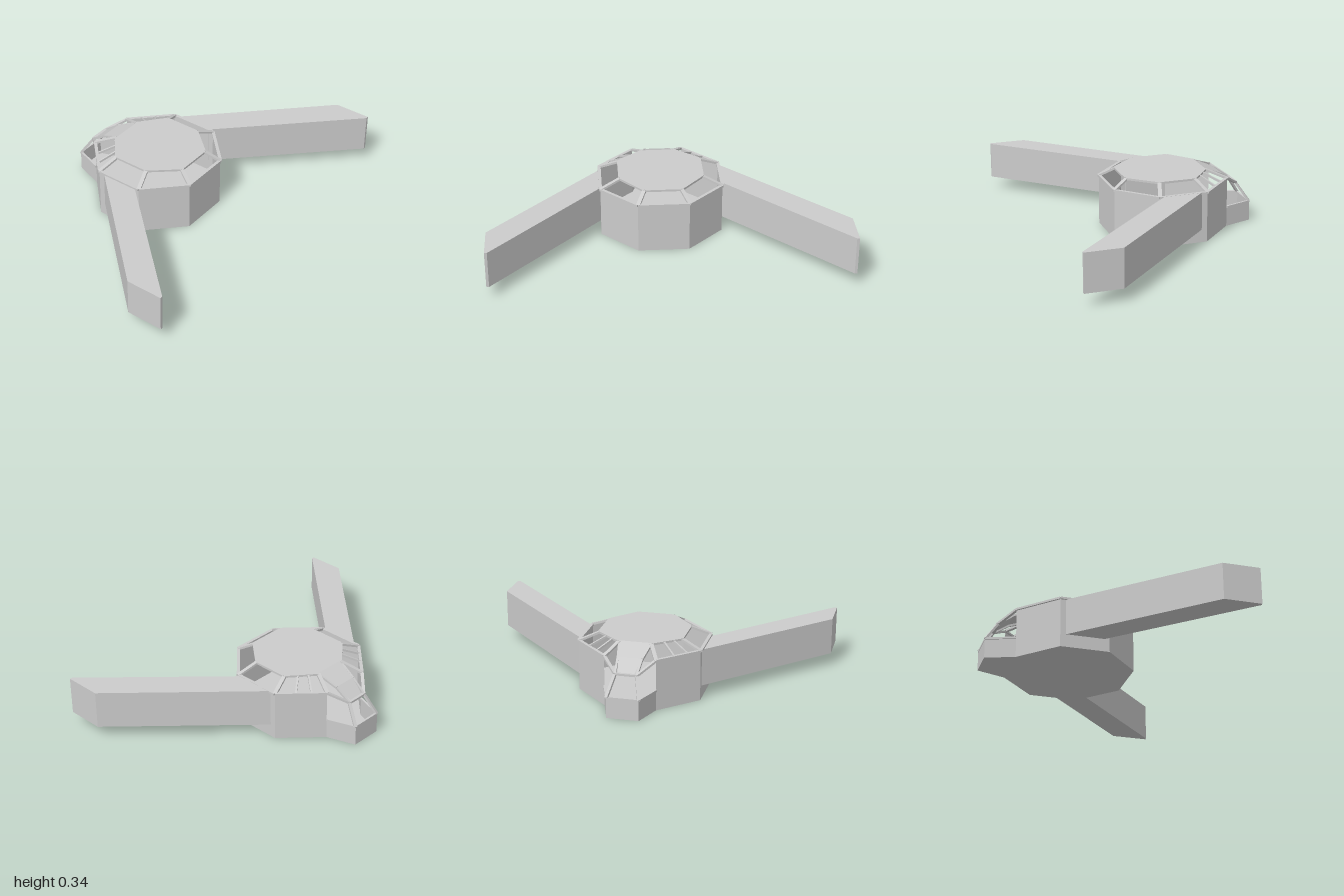
import * as THREE from 'three';

const CX = -0.02; // the hull sits slightly off centre
const mat = new THREE.MeshStandardMaterial({ color: 0xcccccc, flatShading: true, side: THREE.DoubleSide });

const add = (parent, name, geometry) => {
  const mesh = new THREE.Mesh(geometry, mat);
  mesh.name = name;
  parent.add(mesh);
  return mesh;
};

// Upright prism over a plan outline of [x, z] points
function prism(plan, y0, y1) {
  const shape = new THREE.Shape(plan.map(([x, z]) => new THREE.Vector2(x, -z)));
  return new THREE.ExtrudeGeometry(shape, { depth: y1 - y0, bevelEnabled: false })
    .rotateX(-Math.PI / 2).translate(0, y0, 0);
}

// Strip of quads between two matching rows of [x, y, z] points
function strip(a, b) {
  const pos = [];
  for (let i = 0; i < a.length - 1; i++) {
    pos.push(...a[i], ...a[i + 1], ...b[i + 1], ...a[i], ...b[i + 1], ...b[i]);
  }
  const g = new THREE.BufferGeometry();
  g.setAttribute('position', new THREE.Float32BufferAttribute(pos, 3));
  g.computeVertexNormals();
  return g;
}

// Square bar whose top lies on the line between two points
function bar(parent, name, p, q, w = 0.018) {
  const a = new THREE.Vector3(...p), b = new THREE.Vector3(...q);
  const mesh = add(parent, name, new THREE.BoxGeometry(w, 0.012, a.distanceTo(b)));
  mesh.position.lerpVectors(a, b, 0.5);
  mesh.position.y -= 0.006;
  mesh.lookAt(b.clone().setY(b.y - 0.006));
}

// Octagon running from the back right corner round the front to the back left
const ring = (half) => [
  ...half.map(([x, z]) => [CX + x, z]),
  ...half.slice().reverse().map(([x, z]) => [CX - x, z]),
];
const at = (plan, y) => plan.map(([x, z]) => [x, y, z]);
const mix = (p, q, t) => p.map((v, i) => v + (q[i] - v) * t);

export function createModel() {
  const model = new THREE.Group();
  const hull = ring([[0.145, -0.48], [0.348, -0.28], [0.348, 0], [0.145, 0.2]]);
  const roof = ring([[0.09, -0.365], [0.235, -0.245], [0.235, -0.035], [0.105, 0.115]]);
  const tail = [[CX + 0.145, -0.48], [CX + 0.09, -0.645], [CX - 0.09, -0.645], [CX - 0.145, -0.48]];

  // Open-topped hull with the low tail bay
  add(model, 'hullWall', strip(at(hull, 0), at(hull, 0.295)));
  add(model, 'tailWall', strip(at(tail, 0), at(tail, 0.12)));
  add(model, 'floor', prism([...hull, tail[2], tail[1]], 0, 0.006));

  // Raised roof and the panel that folds down behind it
  add(model, 'roof', prism(roof, 0.335, 0.345));
  const fold = [[0.09, 0.345, -0.365], [0.068, 0.295, -0.48], [0.045, 0.232, -0.565]];
  add(model, 'rearRoofPanel', strip(
    fold.map(([x, y, z]) => [CX + x, y, z]),
    fold.map(([x, y, z]) => [CX - x, y, z])));

  // Window frames between hull rim and roof
  const frames = new THREE.Group();
  frames.name = 'windowFrames';
  model.add(frames);
  const low = at(hull, 0.297), high = at(roof, 0.345);
  low.forEach((p, i) => {
    bar(frames, 'cornerBar', p, high[i], 0.022);
    if (i === 7) return;
    bar(frames, 'rimBar', p, low[i + 1]);
    bar(frames, 'roofEdgeBar', high[i], high[i + 1]);
    if (i === 0 || i === 6) { // extra mullions on the rear diagonals
      for (const t of [0.3, 0.6]) {
        bar(frames, 'mullion', mix(p, low[i + 1], t), mix(high[i], high[i + 1], t), 0.01);
      }
    }
  });

  // Tail bay frame
  for (const s of [1, -1]) {
    const corner = [CX + s * 0.145, 0.297, -0.48];
    const bend = [CX + s * 0.06, 0.235, -0.568];
    const foot = [CX + s * 0.09, 0.122, -0.642];
    bar(frames, 'tailUpperBar', corner, bend);
    bar(frames, 'tailLowerBar', bend, foot);
    bar(frames, 'panelEdgeBar', [CX + s * 0.09, 0.345, -0.365], [CX + s * 0.068, 0.296, -0.48], 0.012);
    bar(frames, 'panelEdgeBar', [CX + s * 0.068, 0.296, -0.48], bend, 0.012);
    bar(frames, 'tailRimBar', foot, [CX + s * 0.145, 0.122, -0.48], 0.012);
  }
  bar(frames, 'tailCrossBar', [CX + 0.06, 0.235, -0.568], [CX - 0.06, 0.235, -0.568]);
  bar(frames, 'tailRimBar', [CX + 0.09, 0.122, -0.64], [CX - 0.09, 0.122, -0.64], 0.012);

  // Swept arms with square-cut ends
  for (const s of [1, -1]) {
    const inner = CX + s * 0.346;
    const plan = [[inner, -0.25], [s, 0.43], [s, 0.643], [s * 0.985, 0.643], [inner, -0.03]];
    add(model, s > 0 ? 'leftArm' : 'rightArm', prism(plan, 0.075, s > 0 ? 0.296 : 0.287));
  }
  return model;
}
